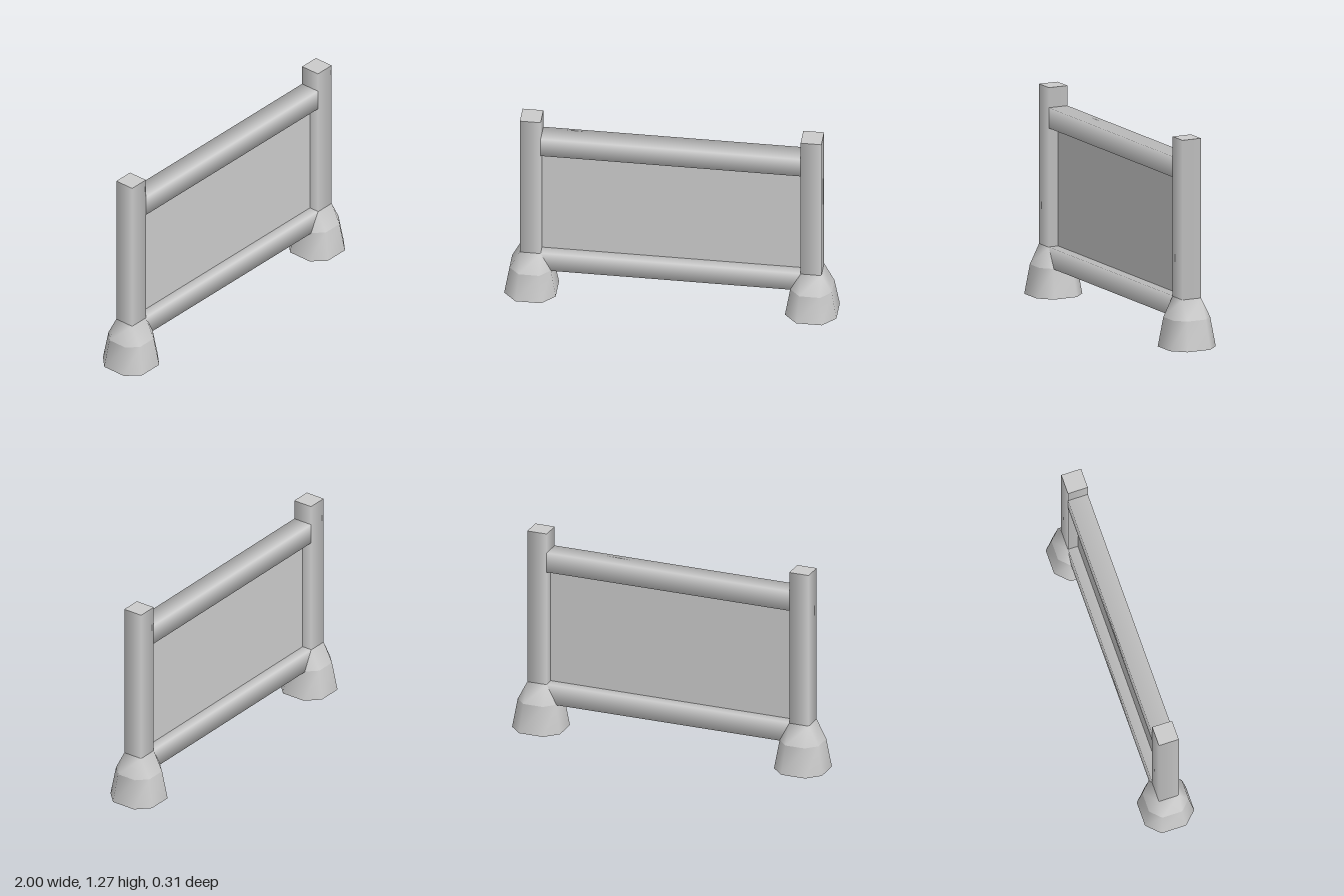
import * as THREE from 'three';
import { mergeVertices } from 'three/addons/utils/BufferGeometryUtils.js';

const T = 0.0625;      // half thickness of posts and rails
const POST_X = 0.845;  // post centre
const material = new THREE.MeshStandardMaterial({ color: 0xcccccc });
const sheet = new THREE.MeshStandardMaterial({ color: 0xcccccc, side: THREE.DoubleSide });

function addMesh(parent, name, geometry, mat = material) {
  const mesh = new THREE.Mesh(geometry, mat);
  mesh.name = name;
  parent.add(mesh);
  return mesh;
}

// Square bar along y with normals smoothed around its four sides
function bar(length, open) {
  return new THREE.CylinderGeometry(T * Math.SQRT2, T * Math.SQRT2, length, 4, 1, open).rotateY(Math.PI / 4);
}

// Eight corners of a chamfered square: h = half width, c = half length of each main side
function ring(h, c) {
  return [[h, c], [c, h], [-c, h], [-h, c], [-h, -c], [-c, -h], [c, -h], [h, -c]];
}

// Band of faces between two rings
function band(lower, y0, upper, y1) {
  const positions = [], index = [];
  lower.forEach(([x, z]) => positions.push(x, y0, z));
  upper.forEach(([x, z]) => positions.push(x, y1, z));
  for (let i = 0; i < 8; i++) {
    const j = (i + 1) % 8;
    index.push(i, i + 8, j);
    // Chamfers end in a point where the upper ring is square
    const pointed = upper[i][0] === upper[j][0] && upper[i][1] === upper[j][1];
    if (!pointed) index.push(j, i + 8, j + 8);
  }
  let geometry = new THREE.BufferGeometry();
  geometry.setAttribute('position', new THREE.Float32BufferAttribute(positions, 3));
  geometry.setIndex(index);
  geometry = mergeVertices(geometry);
  geometry.computeVertexNormals();
  return geometry;
}

// Foot flaring from the square post to an octagonal bottom
function createFoot() {
  const foot = new THREE.Group();
  const bottom = ring(0.155, 0.0775), middle = ring(0.125, 0.0625), top = ring(T, T);
  addMesh(foot, 'footLower', band(bottom, 0, middle, 0.18));
  addMesh(foot, 'footUpper', band(middle, 0.18, top, 0.3));
  const outline = new THREE.Shape(bottom.map(([x, z]) => new THREE.Vector2(x, z)));
  addMesh(foot, 'footBottom', new THREE.ShapeGeometry(outline).rotateX(Math.PI / 2));
  return foot;
}

export function createModel() {
  const model = new THREE.Group();
  model.name = 'fencePanel';

  // Posts and feet
  for (const [side, sign] of [['left', 1], ['right', -1]]) {
    const post = addMesh(model, side + 'Post', bar(0.975, false));
    post.position.set(sign * POST_X, 0.7875, 0);
    const foot = createFoot();
    foot.name = side + 'Foot';
    foot.position.x = sign * POST_X;
    model.add(foot);
  }

  // Rails between the posts
  const span = 2 * (POST_X - T);
  for (const [name, y] of [['topRail', 1.09], ['bottomRail', 0.24]]) {
    const rail = addMesh(model, name, bar(span, true).rotateZ(Math.PI / 2));
    rail.position.y = y;
  }

  // Thin infill sheet
  const panel = addMesh(model, 'panel', new THREE.PlaneGeometry(span, 0.73), sheet);
  panel.position.y = 0.665;

  return model;
}
